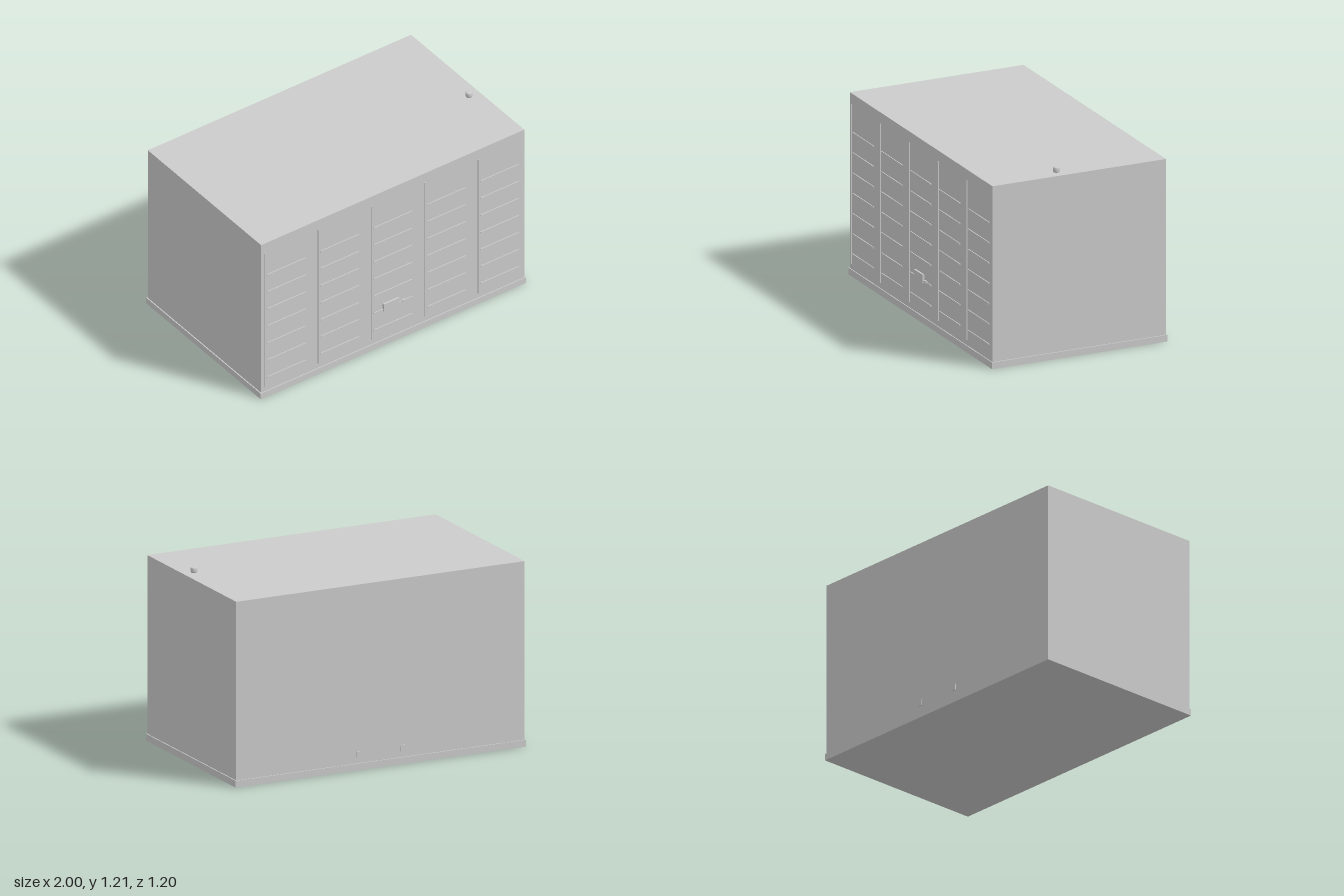
import * as THREE from 'three';

const material = new THREE.MeshStandardMaterial({ color: 0xcccccc });

export function createModel() {
  const model = new THREE.Group();

  // Box given by its extents on each axis
  function box(name, [x0, x1], [y0, y1], [z0, z1], parent = model) {
    const mesh = new THREE.Mesh(new THREE.BoxGeometry(x1 - x0, y1 - y0, z1 - z0), material);
    mesh.position.set((x0 + x1) / 2, (y0 + y1) / 2, (z0 + z1) / 2);
    mesh.name = name;
    parent.add(mesh);
    return mesh;
  }

  const front = 0.588, back = -0.593;

  // Plinth and main cabinet
  box('basePlinth', [-1, 1], [0, 0.043], [-0.6, 0.594]);
  box('cabinetBody', [-0.993, 0.993], [0.043, 1.178], [back, front]);

  // Five front bays: one upright and seven horizontal slats each
  for (let i = 0; i < 5; i++) {
    const bay = new THREE.Group();
    bay.name = 'frontBay' + (i + 1);
    const x = -0.965 + i * 0.4025;
    box('upright', [x - 0.004, x + 0.004], [0.08, 1.108], [front - 0.005, 0.595], bay);
    for (let j = 0; j < 7; j++) {
      const y = 0.145 + j * 0.131;
      box('slat', [x + 0.016, x + 0.306], [y - 0.004, y + 0.004], [front - 0.005, 0.594], bay);
    }
    model.add(bay);
  }

  // Lock plate with its small latch
  box('lockPlate', [-0.075, 0.044], [0.264, 0.318], [front - 0.005, 0.6]);
  box('latchRod', [0.044, 0.066], [0.272, 0.282], [front - 0.005, 0.597]);
  box('latchKnob', [0.064, 0.086], [0.274, 0.288], [front - 0.005, 0.6]);

  // Two tabs low on the back
  for (const x of [-0.152, 0.152]) {
    box('backTab', [x - 0.015, x + 0.015], [0.08, 0.12], [-0.6, back + 0.005]);
  }

  // Roof vent with a bevelled cap edge
  const profile = [[0, 1.175], [0.019, 1.175], [0.019, 1.184], [0.021, 1.184],
    [0.021, 1.205], [0.016, 1.21], [0, 1.21]].map(([r, y]) => new THREE.Vector2(r, y));
  const vent = new THREE.Mesh(new THREE.LatheGeometry(profile, 24), material);
  vent.position.set(0.917, 0, 0.116);
  vent.name = 'roofVent';
  model.add(vent);

  return model;
}
